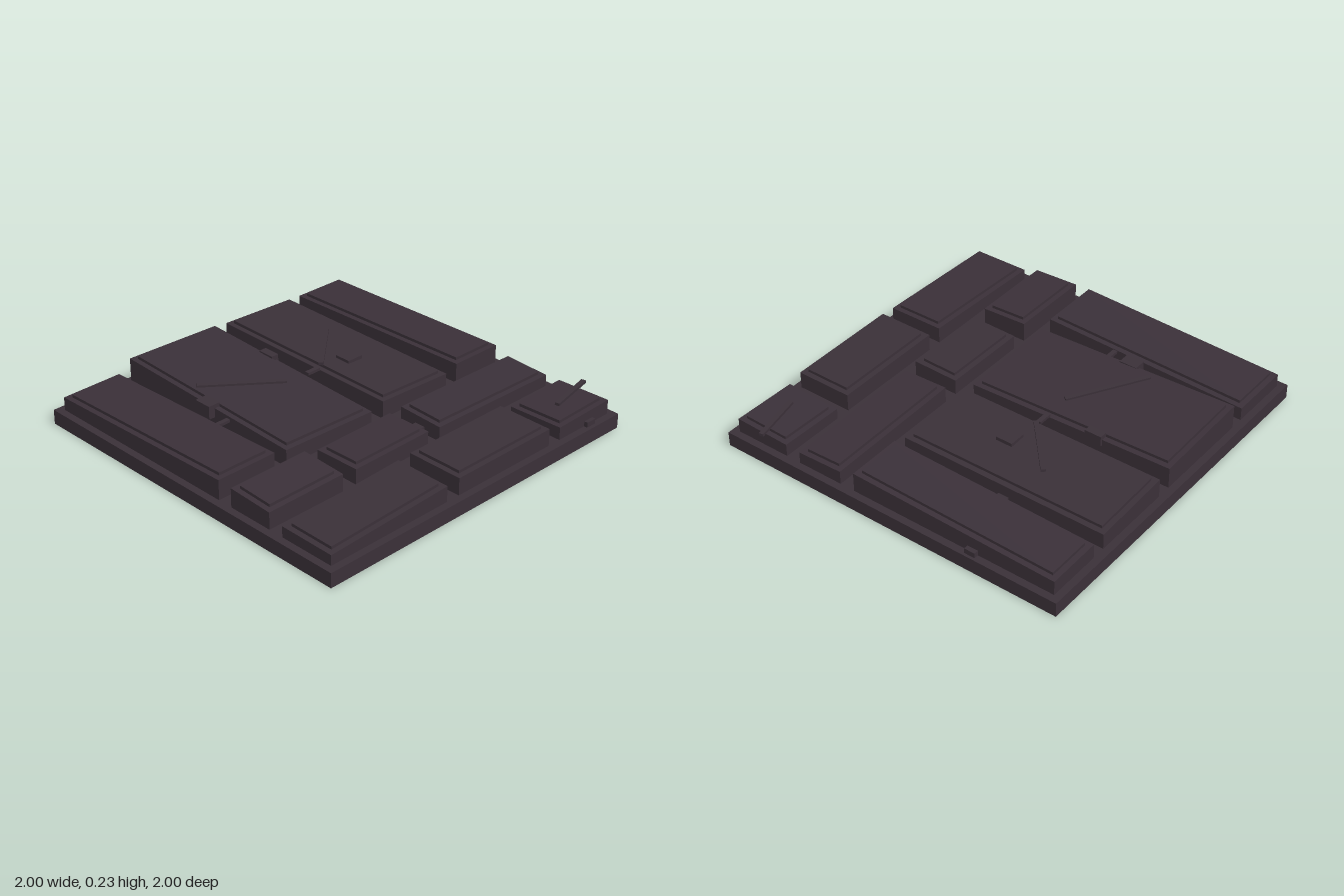
import * as THREE from 'three';

const stone = new THREE.MeshStandardMaterial({ color: 0x3a3038 });
stone.name = 'dark stone';

// Height of a sloping top given at its back-left, back-right and front-left corners
function slope([x0, x1, z0, z1, backLeft, backRight, frontLeft]) {
  return (x, z) => backLeft
    + (backRight - backLeft) * (x - x0) / (x1 - x0)
    + (frontLeft - backLeft) * (z - z0) / (z1 - z0);
}

// Box whose top follows a height function and whose bottom is level
function slopedBlock(x0, x1, z0, z1, bottom, topAt) {
  const geo = new THREE.BoxGeometry(x1 - x0, 1, z1 - z0);
  geo.translate((x0 + x1) / 2, 0, (z0 + z1) / 2);
  const p = geo.attributes.position;
  for (let i = 0; i < p.count; i++) {
    p.setY(i, p.getY(i) > 0 ? topAt(p.getX(i), p.getZ(i)) : bottom);
  }
  geo.computeVertexNormals();
  return geo;
}

export function createModel() {
  const model = new THREE.Group();
  model.name = 'stoneFloorTile';
  const add = (name, geo, parent = model) => {
    const mesh = new THREE.Mesh(geo, stone);
    mesh.name = name;
    parent.add(mesh);
    return mesh;
  };

  // Base slab
  add('baseSlab', new THREE.BoxGeometry(2, 0.08, 2).translate(0, 0.04, 0));

  // Paving stones: x0, x1, z0, z1, then top heights back-left, back-right, front-left
  const stones = [
    [-0.96, -0.61, -0.96, 0.215, 0.168, 0.168, 0.205],
    [-0.535, 0.04, -0.96, 0.215, 0.23, 0.212, 0.188],
    [0.12, 0.58, -0.96, 0.215, 0.2, 0.182, 0.195],
    [0.655, 0.96, -0.96, 0.215, 0.178, 0.175, 0.205],
    [-0.96, -0.495, 0.3, 0.56, 0.2, 0.203, 0.188],
    [-0.41, 0.08, 0.3, 0.56, 0.175, 0.18, 0.18],
    [0.16, 0.96, 0.3, 0.56, 0.185, 0.17, 0.175],
    [-0.96, -0.215, 0.645, 0.96, 0.155, 0.185, 0.152],
    [-0.135, 0.51, 0.645, 0.96, 0.19, 0.19, 0.19],
    [0.59, 0.96, 0.645, 0.96, 0.155, 0.165, 0.165],
  ];
  const tops = stones.map(slope);
  stones.forEach(([x0, x1, z0, z1], i) => {
    const group = new THREE.Group();
    group.name = `pavingStone${i + 1}`;
    model.add(group);
    const shoulder = (x, z) => tops[i](x, z) - 0.016;
    add('stoneBody', slopedBlock(x0, x1, z0, z1, 0.07, shoulder), group);
    add('raisedCap', slopedBlock(x0 + 0.03, x1 - 0.03, z0 + 0.03, z1 - 0.03, 0.09, tops[i]), group);
  });

  // Thin raised cracks, each a slender bar between two points
  const bar = (a, b) => {
    const from = new THREE.Vector3(...a), to = new THREE.Vector3(...b);
    const mesh = add('crack', new THREE.BoxGeometry(0.025, 0.015, from.distanceTo(to)));
    mesh.position.copy(from).lerp(to, 0.5);
    mesh.lookAt(to);
  };
  bar([-0.48, tops[1](-0.48, -0.5) + 0.003, -0.5], [-0.1, tops[1](-0.1, -0.25) + 0.003, -0.25]);
  bar([0.42, 0.207, -0.5], [0.14, 0.203, -0.25]);
  bar([0.72, 0.176, 0.83], [1.0, 0.176, 0.77]);
  bar([-0.61, 0.165, -0.2], [-0.53, 0.165, -0.2]);
  bar([0.04, 0.185, -0.25], [0.12, 0.185, -0.25]);

  // Loose chips: centre x, centre z, width, depth, bottom, top
  [
    [0.305, -0.215, 0.095, 0.095, 0.18, 0.207],
    [0.615, -0.39, 0.06, 0.06, 0.07, 0.11],
    [-0.537, -0.35, 0.07, 0.1, 0.14, 0.212],
    [0.03, -0.525, 0.045, 0.095, 0.15, 0.206],
    [0.15, 0.43, 0.025, 0.06, 0.07, 0.12],
    [0.97, -0.5, 0.03, 0.06, 0.07, 0.108],
    [0.81, 0.965, 0.06, 0.03, 0.07, 0.108],
  ].forEach(([x, z, w, d, bottom, top]) => {
    add('stoneChip', new THREE.BoxGeometry(w, top - bottom, d).translate(x, (top + bottom) / 2, z));
  });

  return model;
}
